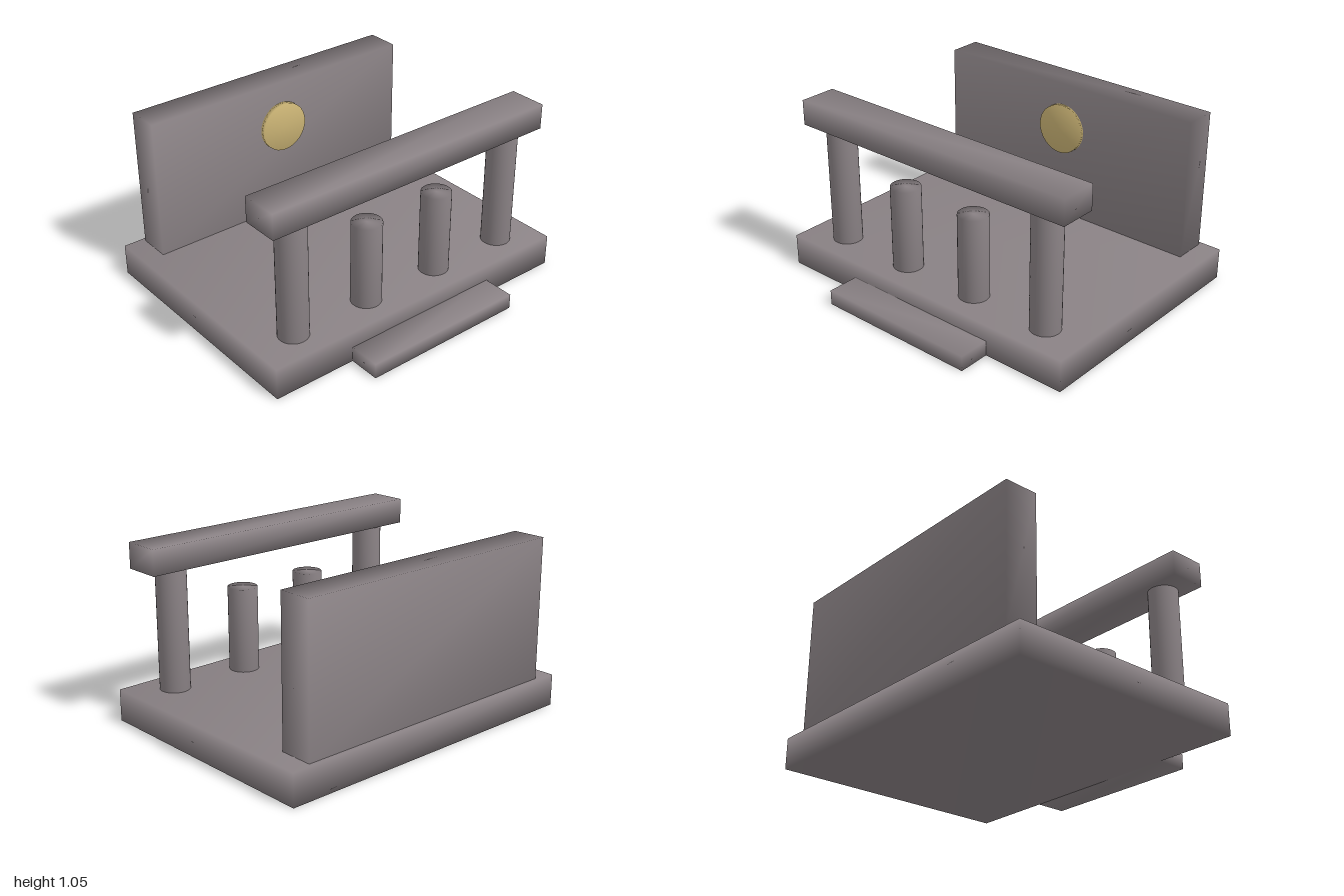
import * as THREE from 'three';
import { mergeVertices } from 'three/addons/utils/BufferGeometryUtils.js';

// Share corners between faces so shading runs smoothly over the edges
function soften(geometry) {
  geometry.deleteAttribute('normal');
  geometry.deleteAttribute('uv');
  geometry.clearGroups();
  const merged = mergeVertices(geometry, 1e-4);
  merged.computeVertexNormals();
  return merged;
}

export function createModel() {
  const group = new THREE.Group();
  const stone = new THREE.MeshStandardMaterial({ color: 0x8a8285 });
  stone.name = 'stone';
  const gold = new THREE.MeshStandardMaterial({ color: 0xcbb475 });
  gold.name = 'gold';

  function add(name, geometry, material, x, y, z) {
    const mesh = new THREE.Mesh(soften(geometry), material);
    mesh.name = name;
    mesh.position.set(x, y, z);
    group.add(mesh);
  }

  // Box given by its width and its y and z ranges, centred on x = 0
  function slab(name, width, y0, y1, z0, z1) {
    add(name, new THREE.BoxGeometry(width, y1 - y0, z1 - z0), stone, 0, (y0 + y1) / 2, (z0 + z1) / 2);
  }

  const floor = 0.1875;
  const columnZ = 0.467;

  slab('base', 2, 0, floor, -0.845, 0.655);
  slab('frontStep', 1, 0, 0.09, 0.655, 0.845);
  slab('backWall', 1.75, floor, 1.03, -0.82, -0.62);
  slab('beam', 1.875, 0.9, 1.05, columnZ - 0.1125, columnZ + 0.1125);

  // Two tall outer columns carry the beam, two short ones stand free
  function column(name, x, top) {
    const h = top - floor;
    add(name, new THREE.CylinderGeometry(0.0875, 0.0875, h, 32), stone, x, floor + h / 2, columnZ);
  }
  for (const [side, s] of [['left', 1], ['right', -1]]) {
    column(side + 'TallColumn', s * 0.75, 0.9);
    column(side + 'ShortColumn', s * 0.25, 0.69);
  }

  // Round medallion on the wall
  const disc = new THREE.CylinderGeometry(0.15, 0.15, 0.034, 32).rotateX(Math.PI / 2);
  add('medallion', disc, gold, 0, 0.75, -0.604);

  return group;
}
